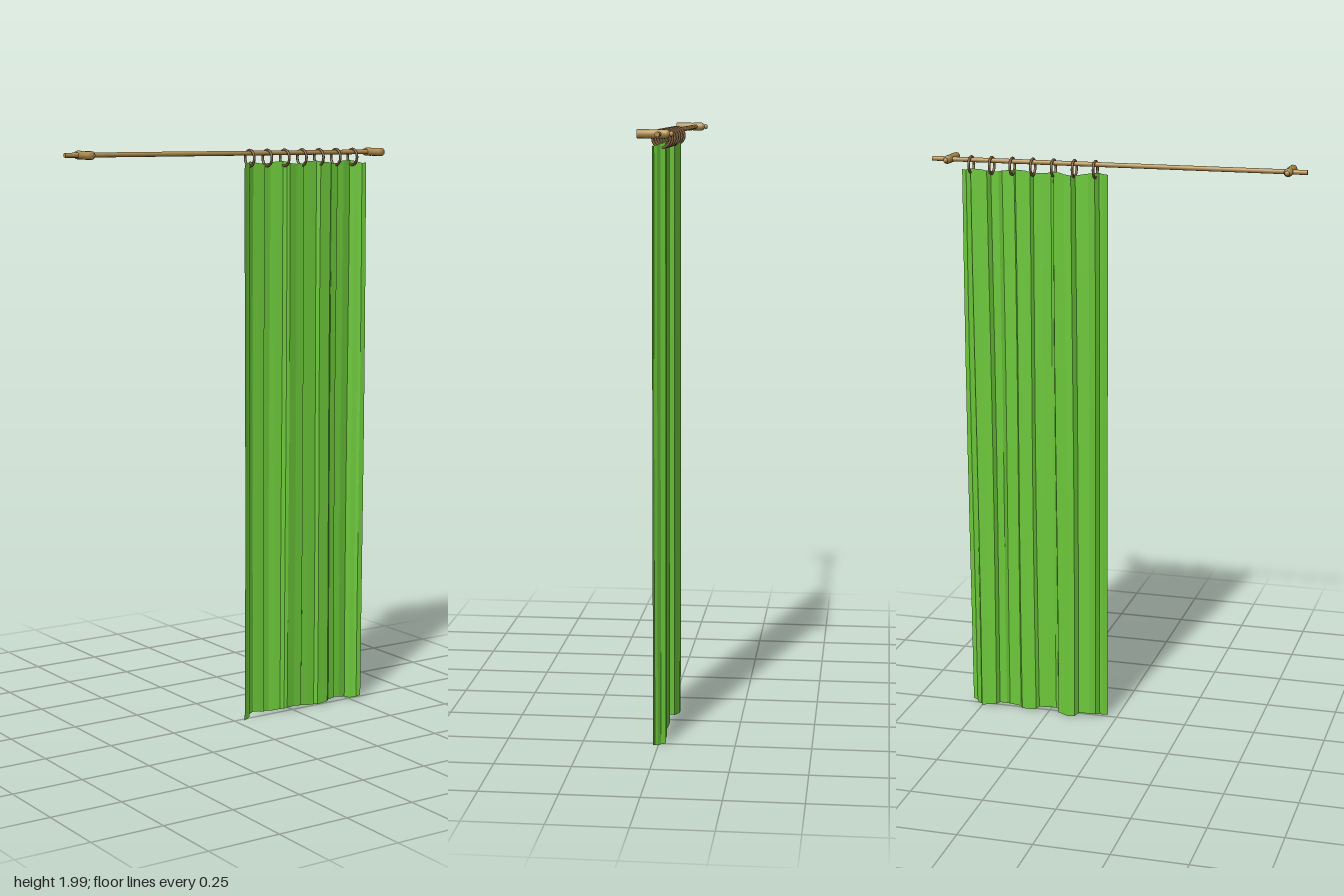
import * as THREE from 'three';

const ROD_Y = 1.985, ROD_Z = -0.013;
const wood = new THREE.MeshStandardMaterial({ color: 0xb08d4f });
const darkWood = new THREE.MeshStandardMaterial({ color: 0x755733 });
const cloth = new THREE.MeshStandardMaterial({ color: 0x6cc83a, side: THREE.DoubleSide, flatShading: true });

function add(parent, name, geometry, material, x = 0, y = 0, z = 0) {
  const mesh = new THREE.Mesh(geometry, material);
  mesh.name = name;
  mesh.position.set(x, y, z);
  parent.add(mesh);
  return mesh;
}

// Pleated sheet: a fold line in x and z, drawn from hem to heading
function curtainGeometry() {
  const folds = [
    [0.035, 0.014], [0.052, 0.006], [0.062, 0.003], [0.072, -0.014], [0.092, -0.022],
    [0.115, -0.019], [0.136, -0.017], [0.146, -0.035], [0.17, -0.035], [0.188, -0.028],
    [0.212, -0.020], [0.218, -0.003], [0.228, 0.002], [0.26, -0.003], [0.29, -0.002],
    [0.298, -0.014], [0.318, -0.012], [0.35, -0.010], [0.358, 0.003], [0.4, 0.004],
    [0.41, -0.004], [0.435, -0.006], [0.444, -0.021], [0.47, -0.019], [0.5, -0.024],
    [0.508, -0.008], [0.523, 0.001], [0.53, 0.010], [0.546, 0.014],
  ];
  const rows = 6, pos = [], index = [], n = folds.length;
  for (let r = 0; r <= rows; r++) {
    const t = r / rows;
    folds.forEach(([x, z], i) => {
      const hem = 0.012 + 0.006 * Math.sin(i * 0.75 - 1.6);
      const heading = 1.952 + 0.005 * Math.sin(i * 0.9 - 1);
      const sway = 0.002 * Math.sin(t * 5 + i * 0.4);
      pos.push(x + sway, hem + (heading - hem) * t, z);
    });
  }
  for (let r = 0; r < rows; r++) {
    for (let i = 0; i < n - 1; i++) {
      const a = r * n + i, b = a + 1, c = a + n, d = c + 1;
      index.push(a, b, d, a, d, c);
    }
  }
  const g = new THREE.BufferGeometry();
  g.setAttribute('position', new THREE.Float32BufferAttribute(pos, 3));
  g.setIndex(index);
  g.computeVertexNormals();
  return g;
}

export function createModel() {
  const model = new THREE.Group();
  model.name = 'curtainAndRod';

  // Long round pole
  add(model, 'rod', new THREE.CylinderGeometry(0.008, 0.008, 1.28, 12), wood, 0, ROD_Y, ROD_Z).rotation.z = Math.PI / 2;

  // Turned brackets: stem from front to back, ending in a small knob
  const profile = [
    [0, -0.057], [0.006, -0.056], [0.009, -0.051], [0.007, -0.046], [0.007, -0.045],
    [0.012, -0.041], [0.014, -0.036], [0.014, -0.006], [0.0125, -0.002], [0.014, 0.002],
    [0.014, 0.056], [0, 0.056],
  ].map(([r, z]) => new THREE.Vector2(r, z));
  const bracketGeometry = new THREE.LatheGeometry(profile, 12).rotateX(Math.PI / 2);
  for (const side of [-1, 1]) {
    add(model, side > 0 ? 'leftBracket' : 'rightBracket', bracketGeometry, wood, side * 0.58, ROD_Y, 0);
  }

  // Rings hanging on the pole
  const ringGeometry = new THREE.TorusGeometry(0.0275, 0.0045, 8, 20).rotateY(Math.PI / 2);
  const rings = new THREE.Group();
  rings.name = 'rings';
  model.add(rings);
  for (let i = 0; i < 7; i++) add(rings, 'ring', ringGeometry, darkWood, 0.07 + i * 0.0722, 1.968, -0.011);

  add(model, 'curtain', curtainGeometry(), cloth);
  return model;
}
